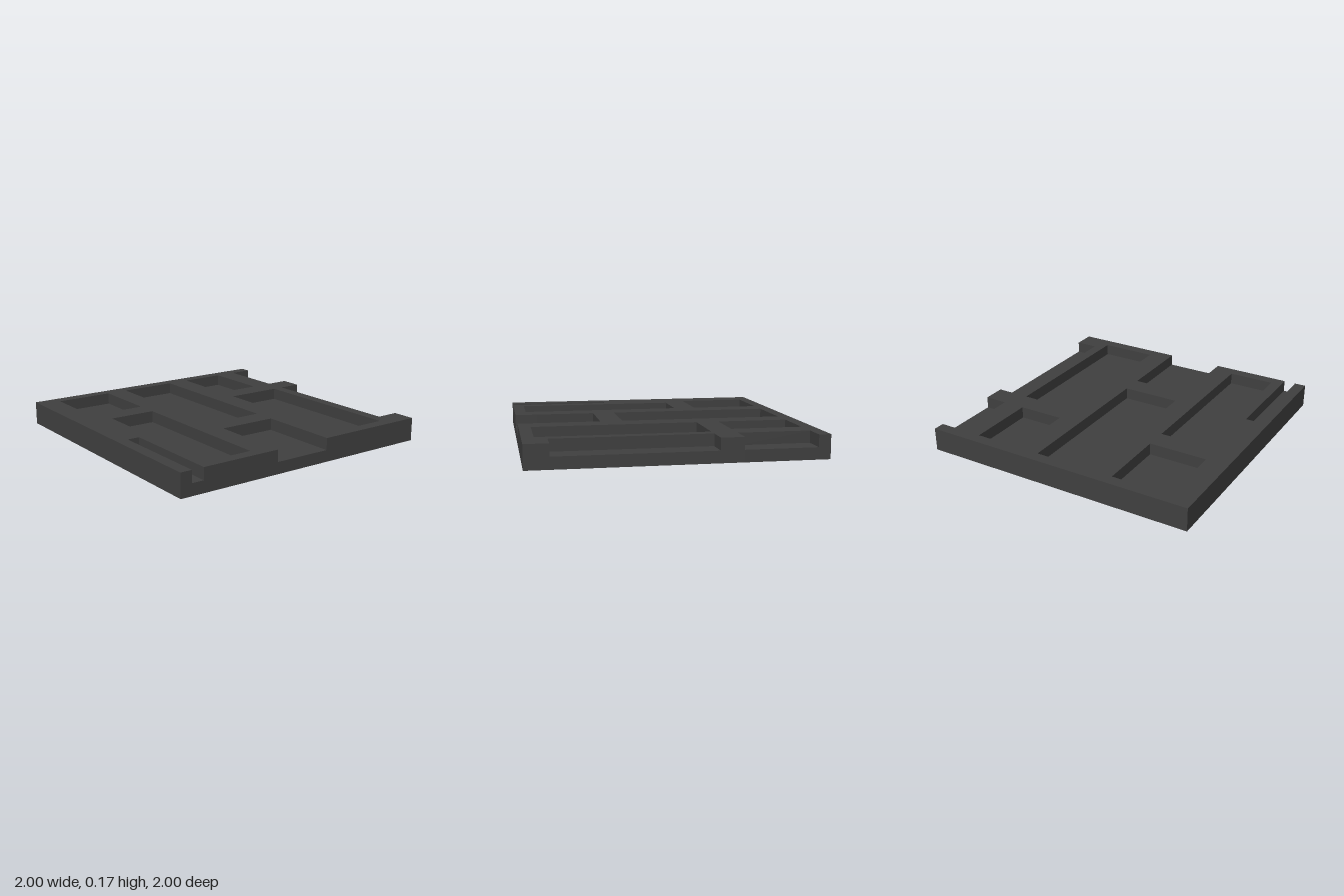
import * as THREE from 'three';

const TOP = 0.167, FLOOR = 0.083;

// Sunken stones as [x0, x1, z0, z1]; those reaching an edge are open there
const recesses = [
  [-0.917, -0.416, -1, -0.834], [-0.255, 0.836, -1, -0.834],
  [-0.917, -0.416, -0.67, -0.337], [-0.255, 0.917, -0.755, -0.337],
  [-0.917, 0.254, -0.17, 0.253], [0.414, 1, -0.17, 0.253],
  [-0.917, -0.416, 0.413, 0.835], [-0.255, 0.917, 0.413, 0.751],
  [0.25, 1, 0.831, 0.917],
];

// Sorted unique cut positions along one axis
const cuts = (i) => [...new Set([-1, 1, ...recesses.flatMap((r) => [r[i], r[i + 1]])])].sort((a, b) => a - b);

function quad(list, a, b, c, d) {
  list.push(...a, ...b, ...c, ...a, ...c, ...d);
}

function makeMesh(name, positions, material) {
  const geometry = new THREE.BufferGeometry();
  geometry.setAttribute('position', new THREE.Float32BufferAttribute(positions, 3));
  geometry.computeVertexNormals();
  const mesh = new THREE.Mesh(geometry, material);
  mesh.name = name;
  return mesh;
}

export function createModel() {
  const stone = new THREE.MeshStandardMaterial({ color: 0x404040 });
  stone.name = 'dark stone';

  const xs = cuts(0), zs = cuts(2);
  const height = (i, j) => {
    if (i < 0 || j < 0 || i >= xs.length - 1 || j >= zs.length - 1) return 0;
    const x = (xs[i] + xs[i + 1]) / 2, z = (zs[j] + zs[j + 1]) / 2;
    return recesses.some(([a, b, c, d]) => x > a && x < b && z > c && z < d) ? FLOOR : TOP;
  };

  const ridges = [], floors = [], walls = [], underside = [];
  const sides = [[-1, 0], [0, 1], [1, 0], [0, -1]];

  for (let i = 0; i < xs.length - 1; i++) {
    for (let j = 0; j < zs.length - 1; j++) {
      const h = height(i, j);
      const corners = [[xs[i], zs[j]], [xs[i], zs[j + 1]], [xs[i + 1], zs[j + 1]], [xs[i + 1], zs[j]]];

      // Upper face of the cell
      quad(h === TOP ? ridges : floors, ...corners.map(([x, z]) => [x, h, z]));

      // Vertical face wherever the neighbouring cell is lower
      sides.forEach(([di, dj], k) => {
        const low = height(i + di, j + dj);
        if (low >= h) return;
        const [px, pz] = corners[k], [qx, qz] = corners[(k + 1) % 4];
        quad(walls, [px, low, pz], [qx, low, qz], [qx, h, qz], [px, h, pz]);
      });
    }
  }
  quad(underside, [-1, 0, -1], [1, 0, -1], [1, 0, 1], [-1, 0, 1]);

  const group = new THREE.Group();
  group.name = 'pavingTile';
  group.add(
    makeMesh('ridges', ridges, stone),
    makeMesh('recessFloors', floors, stone),
    makeMesh('walls', walls, stone),
    makeMesh('underside', underside, stone),
  );
  return group;
}
